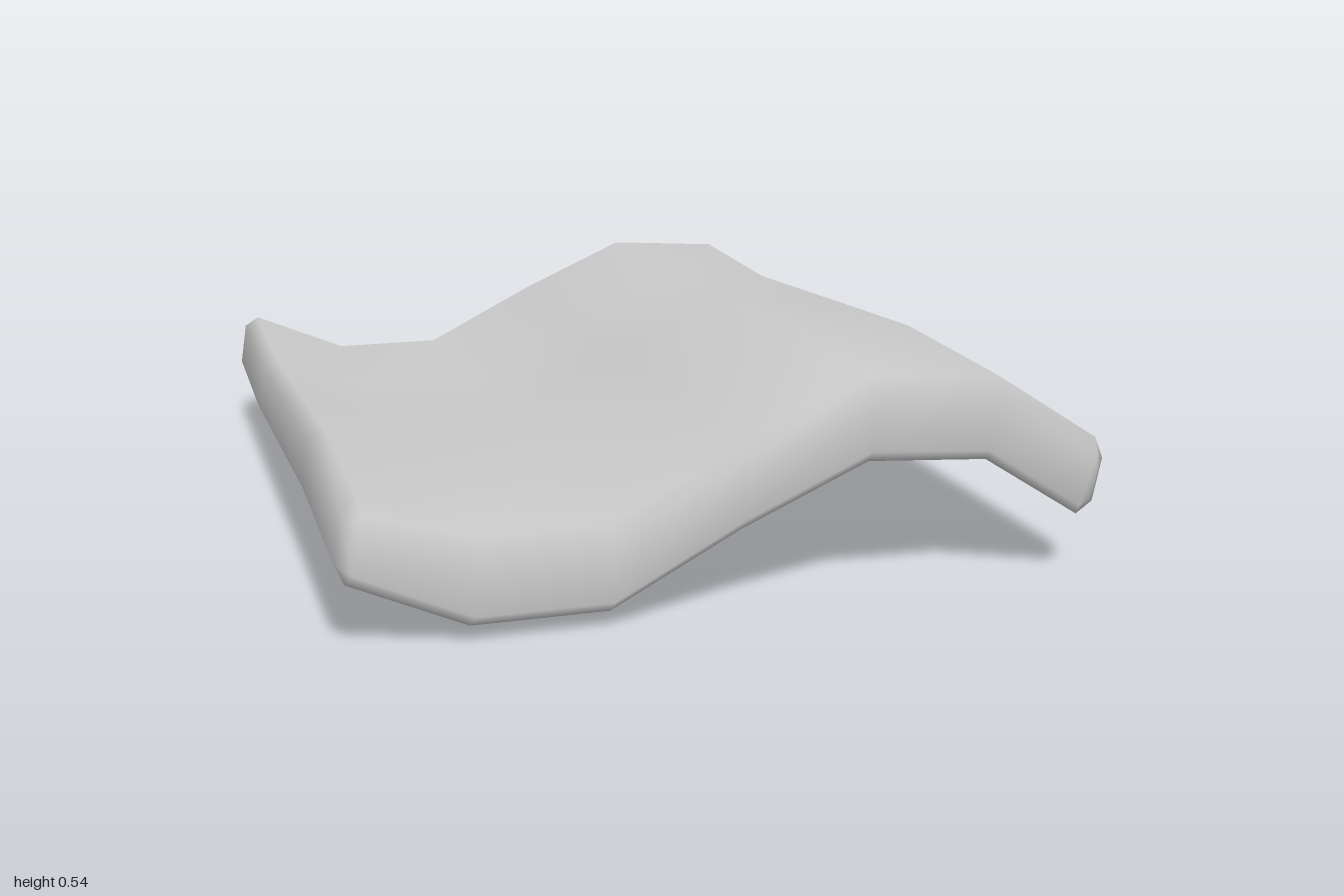
import * as THREE from 'three';

// Cross-section of the wavy slab, counter-clockwise seen from the front
const bottom = [[-0.872, 0.148], [-0.61, 0.029], [-0.3, 0.028], [0, 0.185], [0.3, 0.315], [0.59, 0.295], [0.832, 0.142]];
const rightEnd = [[0.872, 0.17], [0.892, 0.272]];
const top = [[0.87, 0.324], [0.615, 0.487], [0.3, 0.509], [0, 0.377], [-0.3, 0.227], [-0.59, 0.227], [-0.84, 0.334]];
const leftEnd = [[-0.878, 0.31], [-0.895, 0.2]];

// Same section drawn inward, for the bevelled front and back faces
const inset = (points, dx, dy) => points.map(([x, y]) => [x - dx * x, y + dy]);
const outline = [...bottom, ...rightEnd, ...top, ...leftEnd];
const insetOutline = [
  ...inset(bottom, 0.012, 0.03),
  [0.845, 0.19], [0.862, 0.253],
  ...inset(top, 0.012, -0.03),
  [-0.85, 0.291], [-0.865, 0.22],
];

// Stations from back to front: z, vertical shift, section
const stations = [
  [-1, -0.009, insetOutline],
  [-0.97, -0.01, outline],
  [-0.5, -0.028, outline],
  [0, 0, outline],
  [0.5, 0.028, outline],
  [0.97, 0.01, outline],
  [1, 0.009, insetOutline],
];

function loftGeometry() {
  const n = outline.length;
  const positions = [];
  const index = [];
  const quad = (a, b, c, d) => index.push(a, b, c, a, c, d);

  for (const [z, lift, section] of stations) {
    for (const [x, y] of section) positions.push(x, y + lift, z);
  }
  // Skin between neighbouring stations
  for (let s = 0; s < stations.length - 1; s++) {
    for (let k = 0; k < n; k++) {
      const a = s * n + k;
      const b = s * n + (k + 1) % n;
      quad(a, b, b + n, a + n);
    }
  }
  // Front and back faces, as strips joining the lower and upper edge
  const front = (stations.length - 1) * n;
  for (let i = -1; i < bottom.length; i++) {
    const [a, b, c, d] = [(i + n) % n, i + 1, 14 - i, 15 - i];
    quad(front + a, front + b, front + c, front + d);
    quad(d, c, b, a);
  }

  const geometry = new THREE.BufferGeometry();
  geometry.setAttribute('position', new THREE.Float32BufferAttribute(positions, 3));
  geometry.setIndex(index);
  geometry.computeVertexNormals();
  return geometry;
}

export function createModel() {
  const group = new THREE.Group();
  const material = new THREE.MeshStandardMaterial({ color: 0xcccccc });
  const tile = new THREE.Mesh(loftGeometry(), material);
  tile.name = 'wavyRoofTile';
  group.add(tile);
  return group;
}
